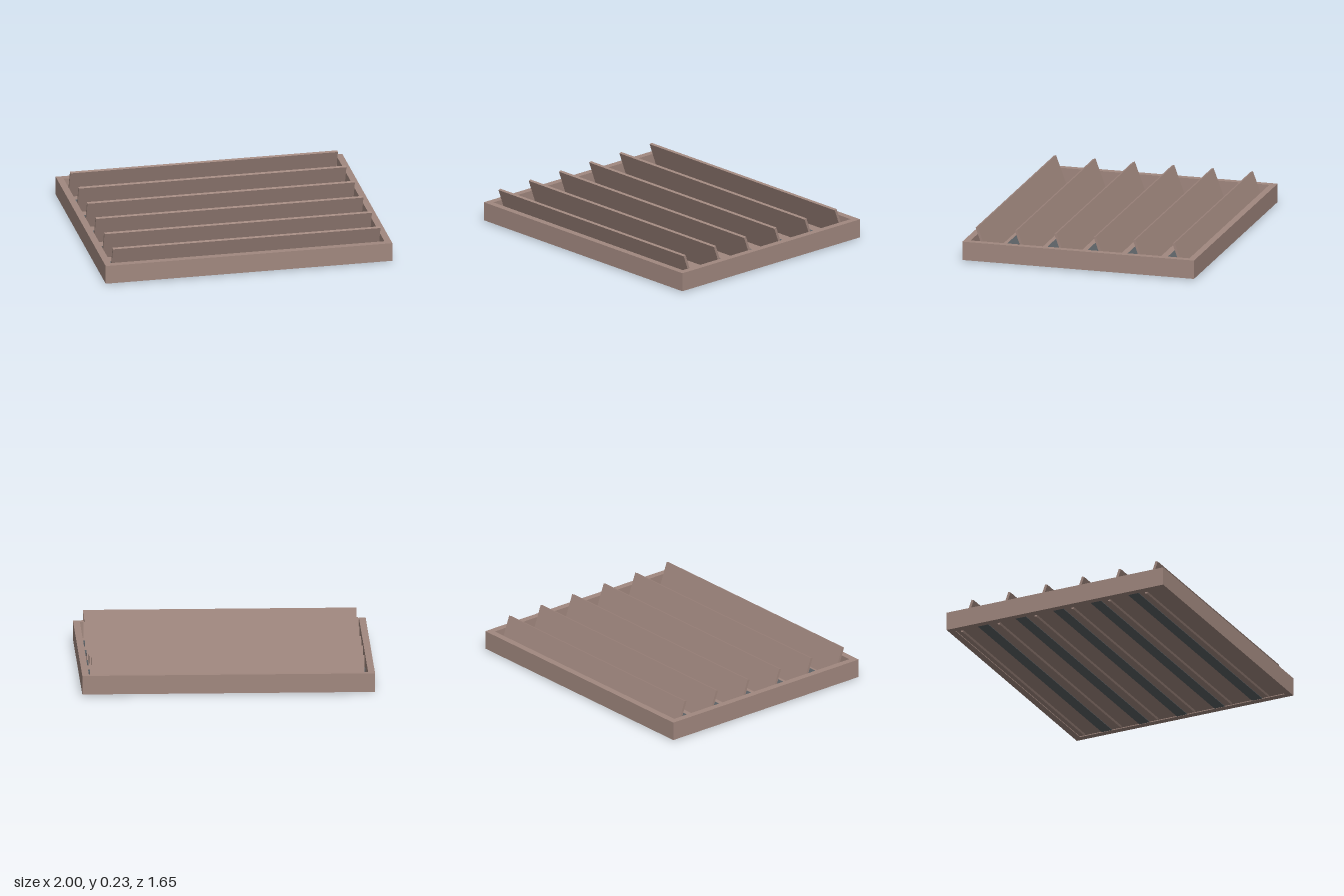
import * as THREE from 'three';

export function createModel() {
  const model = new THREE.Group();
  const clay = new THREE.MeshStandardMaterial({ color: 0xa1887f });
  clay.name = 'clay brown';
  const slate = new THREE.MeshStandardMaterial({ color: 0x5b6064 });
  slate.name = 'slate grey';

  const W = 2, D = 1.65, WALL = 0.046, BOTTOM = 0.008, TOP = 0.138;
  const innerW = W - 2 * WALL, innerD = D - 2 * WALL;

  function addBox(name, material, w, h, d, x, y, z) {
    const mesh = new THREE.Mesh(new THREE.BoxGeometry(w, h, d), material);
    mesh.name = name;
    mesh.position.set(x, y, z);
    model.add(mesh);
    return mesh;
  }

  // Rectangular frame, one extrusion with a hole
  const outline = new THREE.Shape([
    new THREE.Vector2(-W / 2, -D / 2), new THREE.Vector2(W / 2, -D / 2),
    new THREE.Vector2(W / 2, D / 2), new THREE.Vector2(-W / 2, D / 2),
  ]);
  outline.holes.push(new THREE.Path([
    new THREE.Vector2(-innerW / 2, -innerD / 2), new THREE.Vector2(-innerW / 2, innerD / 2),
    new THREE.Vector2(innerW / 2, innerD / 2), new THREE.Vector2(innerW / 2, -innerD / 2),
  ]));
  const frameGeometry = new THREE.ExtrudeGeometry(outline, { depth: TOP - BOTTOM, bevelEnabled: false });
  frameGeometry.rotateX(-Math.PI / 2);
  const frame = new THREE.Mesh(frameGeometry, clay);
  frame.name = 'frame';
  frame.position.y = BOTTOM;
  model.add(frame);

  // Thin backing plate
  addBox('backPlate', clay, innerW, 0.01, innerD, 0, 0.019, 0);

  // Dark bars between the slats, standing proud of the plate on both sides
  for (let i = -2; i <= 2; i++) {
    addBox('gapBar', slate, innerW, 0.036, 0.078, 0, 0.028, i * 0.286);
  }

  // Louvre slats, tops leaning towards the front
  const lean = THREE.MathUtils.degToRad(20);
  for (let i = 0; i < 6; i++) {
    const slat = addBox('slat', clay, 1.866, 0.24, 0.018, 0, 0.116, (i - 2.5) * 0.2805);
    slat.rotation.x = lean;
  }

  return model;
}
